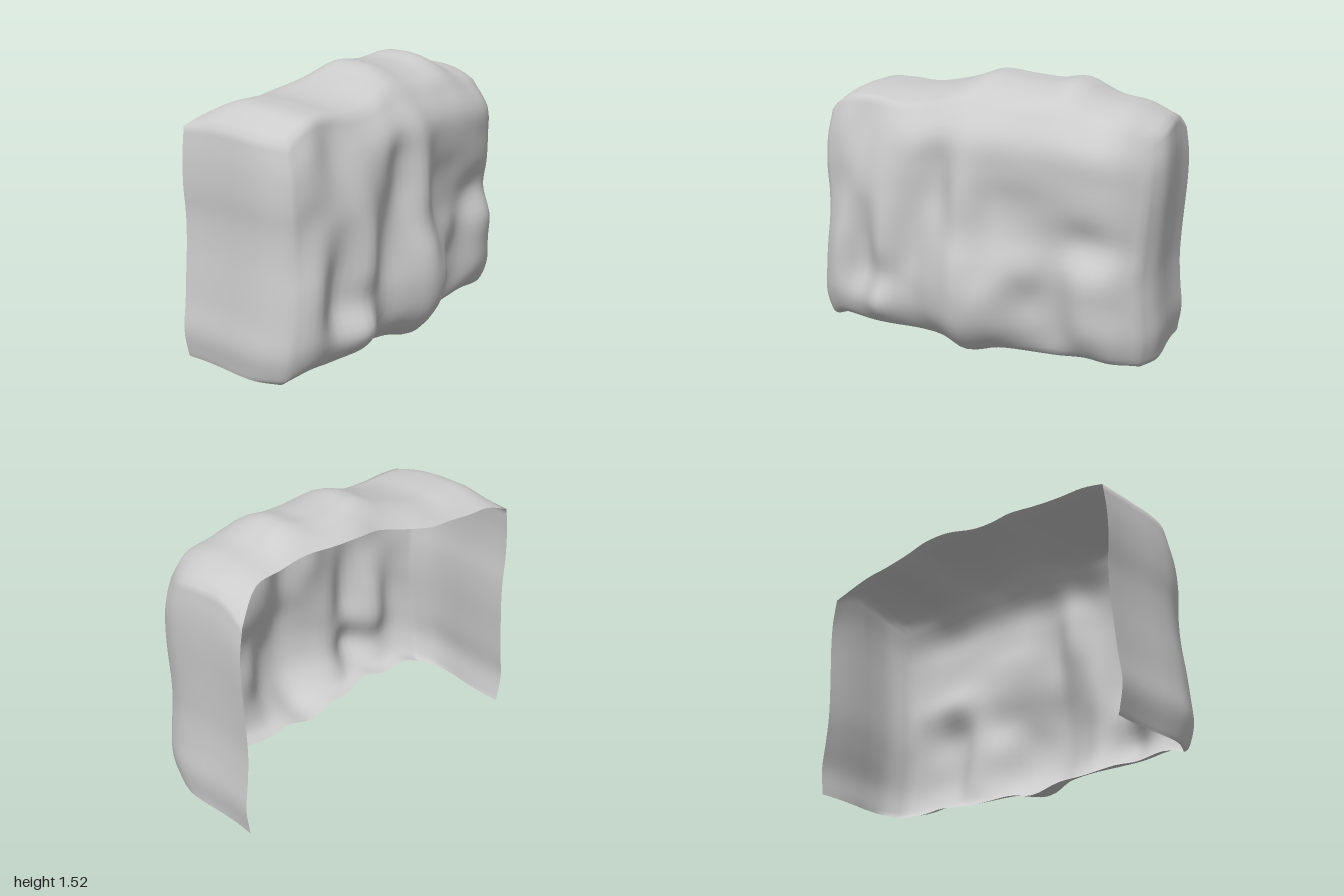
import * as THREE from 'three';
import { mergeGeometries, mergeVertices, toCreasedNormals } from 'three/addons/utils/BufferGeometryUtils.js';

// Front relief: depth z, rows from bottom to top, columns from x = -1 to x = 1
const RELIEF = [
  [.16, .18, .18, .21, .17, .16, .15, .16, .14, .15, .16, .17, .13],
  [.20, .27, .27, .33, .25, .28, .32, .28, .22, .22, .24, .25, .17],
  [.23, .32, .33, .43, .33, .39, .44, .40, .28, .25, .32, .30, .19],
  [.25, .33, .28, .38, .35, .42, .48, .44, .29, .27, .34, .31, .20],
  [.25, .33, .29, .41, .34, .40, .47, .40, .34, .29, .34, .32, .19],
  [.24, .31, .32, .41, .34, .36, .42, .34, .30, .28, .26, .26, .18],
  [.24, .29, .34, .39, .35, .32, .41, .32, .30, .31, .31, .28, .18],
  [.24, .29, .31, .36, .36, .32, .39, .34, .33, .33, .32, .28, .17],
  [.23, .27, .26, .31, .34, .33, .35, .33, .32, .32, .31, .27, .15],
  [.20, .22, .22, .23, .23, .22, .20, .20, .21, .20, .18, .17, .10],
];
// Height share of each relief row
const LEVEL = [0, .03, .13, .255, .38, .505, .63, .755, .88, 1];
// Outlines along x: crest, front brink, back rim height, back rim depth, lower edge
const CREST = [1.31, 1.41, 1.42, 1.41, 1.43, 1.47, 1.52, 1.50, 1.49, 1.51, 1.43, 1.40, 1.32];
const BRINK = [1.28, 1.37, 1.38, 1.36, 1.36, 1.40, 1.42, 1.40, 1.39, 1.39, 1.36, 1.33, 1.25];
const RIM_Y = [1.29, 1.33, 1.33, 1.34, 1.35, 1.37, 1.40, 1.42, 1.42, 1.41, 1.38, 1.35, 1.22];
const RIM_Z = [-.47, -.45, -.45, -.45, -.46, -.42, -.39, -.42, -.42, -.39, -.39, -.40, -.48];
const BASE = [.04, .08, .06, .08, .05, .04, 0, .03, .02, .03, .05, .045, .04];
// Half widths from bottom to top, and their change from back to front at the sides
const LEFT_X = [.98, .985, 1, .985, .975, .98, .99, 1, 1, .98];
const RIGHT_X = [.97, .98, 1, .98, .965, .95, .945, .955, .95, .93];
const WIDTH = [.975, .975, .985, 1, 1, .955];

// Smooth curve through evenly spaced values, t from 0 to 1
function sample(values, t) {
  const n = values.length - 1;
  const i = Math.min(Math.floor(t * n), n - 1);
  const f = t * n - i;
  const b = values[i], c = values[i + 1];
  const a = values[i - 1] ?? 2 * b - c, d = values[i + 2] ?? 2 * c - b;
  return b + 0.5 * f * (c - a + f * (2 * a - 5 * b + 4 * c - d + f * (3 * (b - c) + d - a)));
}

// Maps a box position (u across, v up, w back to front, each 0 to 1) to the rock
function rockPoint(u, v, w) {
  const { lerp } = THREE.MathUtils;
  const s = 2 * u - 1;
  const halfWidth = sample(s < 0 ? RIGHT_X : LEFT_X, v);
  const crest = sample(CREST, u);
  const backFall = Math.max(0, 1 - 3 * w) ** 1.5 * (crest - sample(RIM_Y, u));
  const frontFall = Math.max(0, 2 * w - 1) ** 2 * (crest - sample(BRINK, u));
  const base = Math.max(0, lerp(0.03, sample(BASE, u), w));
  const front = sample(RELIEF.map((row) => sample(row, u)), v);
  return [
    s * halfWidth * lerp(1, sample(WIDTH, w), s ** 6),
    lerp(base, crest - backFall - frontFall, sample(LEVEL, v)),
    lerp(sample(RIM_Z, u), front, w),
  ];
}

// Grid of points over one face of the box
function patch(columns, rows, place) {
  const points = [], index = [];
  for (let j = 0; j <= rows; j++) {
    for (let i = 0; i <= columns; i++) {
      points.push(...place(i / columns, j / rows));
      if (i === columns || j === rows) continue;
      const a = j * (columns + 1) + i, b = a + 1;
      const d = a + columns + 1, c = d + 1;
      index.push(a, b, c, a, c, d);
    }
  }
  const geometry = new THREE.BufferGeometry();
  geometry.setAttribute('position', new THREE.Float32BufferAttribute(points, 3));
  geometry.setIndex(index);
  return geometry;
}

export function createModel() {
  const NX = 48, NY = 36, NZ = 18;
  // Front, top and two sides; the back and underside stay open
  const faces = [
    patch(NX, NY, (a, b) => rockPoint(a, b, 1)),
    patch(NX, NZ, (a, b) => rockPoint(a, 1, 1 - b)),
    patch(NZ, NY, (a, b) => rockPoint(1, b, 1 - a)),
    patch(NZ, NY, (a, b) => rockPoint(0, b, a)),
  ];
  const shell = toCreasedNormals(mergeVertices(mergeGeometries(faces), 1e-4), 1.2);

  const material = new THREE.MeshStandardMaterial({ color: 0xcccccc, side: THREE.DoubleSide });
  const rock = new THREE.Mesh(shell, material);
  rock.name = 'rockShell';

  const group = new THREE.Group();
  group.name = 'rockWall';
  group.add(rock);
  return group;
}
